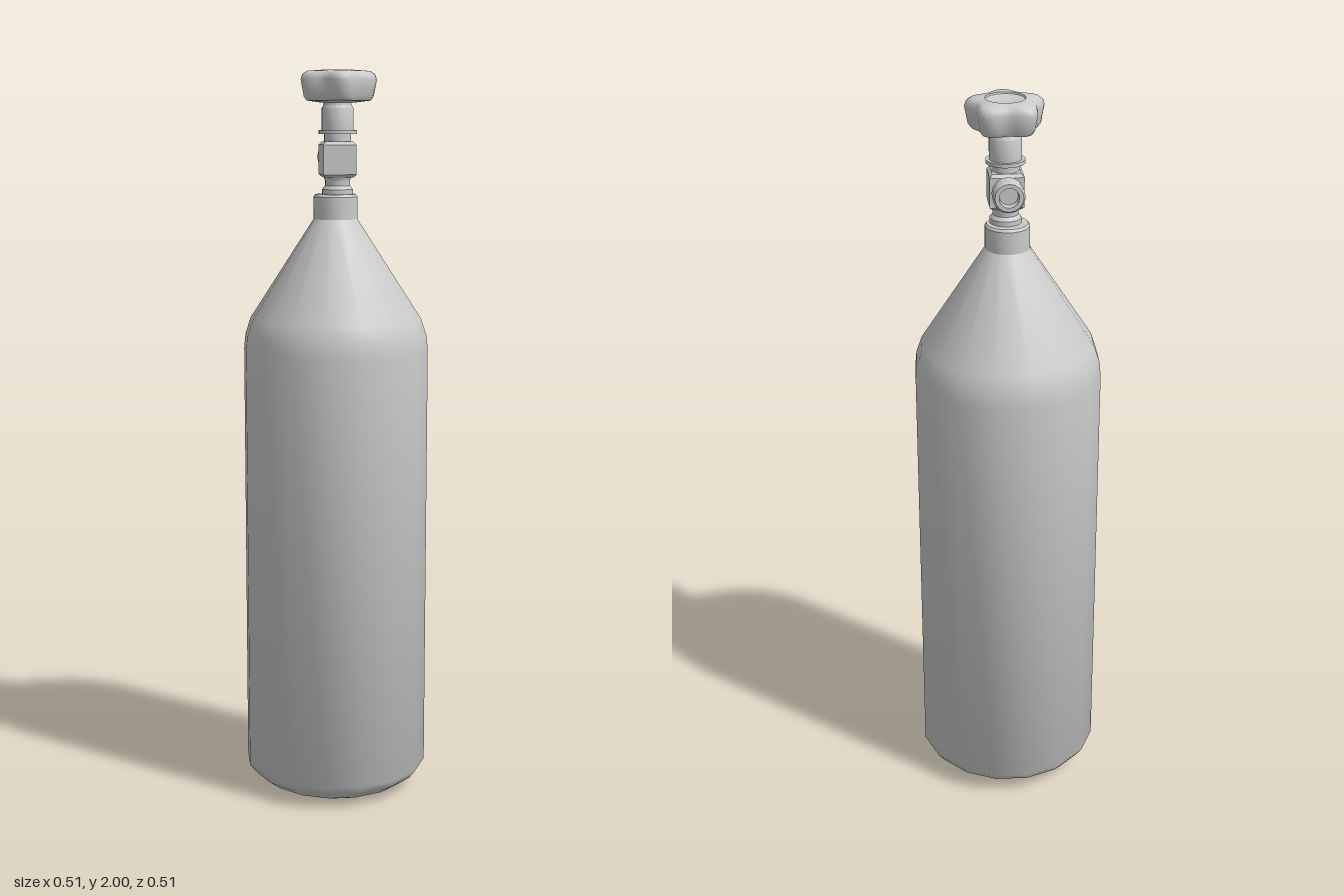
import * as THREE from 'three';
import { mergeVertices, toCreasedNormals } from 'three/addons/utils/BufferGeometryUtils.js';

const material = new THREE.MeshStandardMaterial({ color: 0xcccccc });

function part(name, geometry, crease = 0.6) {
  geometry.deleteAttribute('uv');
  geometry.deleteAttribute('normal');
  const mesh = new THREE.Mesh(toCreasedNormals(mergeVertices(geometry, 1e-5), crease), material);
  mesh.name = name;
  return mesh;
}

// Profile points are [radius, height], listed from bottom to top
function lathe(profile, sides) {
  return new THREE.LatheGeometry(profile.map(([r, y]) => new THREE.Vector2(r, y)), sides);
}

// Square valve block with chamfered edges
function blockGeometry(width, height, bevel) {
  const h = width / 2 - bevel;
  const shape = new THREE.Shape([[-h, -h], [h, -h], [h, h], [-h, h]].map(([x, y]) => new THREE.Vector2(x, y)));
  const geometry = new THREE.ExtrudeGeometry(shape, {
    depth: height - 2 * bevel, bevelThickness: bevel, bevelSize: bevel, bevelSegments: 1,
  });
  return geometry.rotateX(-Math.PI / 2).translate(0, bevel, 0);
}

// Five-lobed hand wheel: a turned shape whose outer rings swell and shrink
function handWheelGeometry() {
  const geometry = lathe([
    [0, 1.915], [0.045, 1.915], [0.08, 1.92], [0.087, 1.93], [0.095, 1.975], [0.091, 1.988],
    [0.08, 1.997], [0.052, 2.0], [0.05, 1.996], [0.03, 1.992], [0, 1.99],
  ], 40);
  const pos = geometry.attributes.position;
  for (let i = 0; i < pos.count; i++) {
    const x = pos.getX(i), z = pos.getZ(i);
    if (Math.hypot(x, z) < 0.06) continue;
    const k = 1 + 0.12 * Math.cos(5 * (Math.atan2(z, x) - 0.07));
    pos.setX(i, x * k);
    pos.setZ(i, z * k);
  }
  return geometry;
}

export function createModel() {
  const model = new THREE.Group();
  model.name = 'gasCylinder';

  // Tank with rounded foot, straight wall and conical shoulder
  model.add(part('tank', lathe([
    [0, 0.005], [0.165, 0.005], [0.2, 0.02], [0.235, 0.045], [0.254, 0.07],
    [0.254, 1.25], [0.25, 1.29], [0.235, 1.335], [0.06, 1.605], [0, 1.605],
  ], 16), 0.75));

  // Collar around the neck
  model.add(part('neckCollar', lathe([
    [0.06, 1.595], [0.06, 1.665], [0.055, 1.672], [0, 1.672],
  ], 16)));

  // Valve assembly, set slightly off the axis
  const valve = new THREE.Group();
  valve.name = 'valve';
  valve.position.set(0.006, 0, 0.007);
  model.add(valve);

  valve.add(part('valveNeck', lathe([
    [0.042, 1.66], [0.042, 1.685], [0.034, 1.695], [0.034, 1.71], [0.042, 1.725],
  ], 16)));

  const body = new THREE.Group();
  body.name = 'valveBody';
  body.rotation.y = 0.24;
  valve.add(body);

  const block = part('valveBlock', blockGeometry(0.09, 0.095, 0.008));
  block.position.y = 1.717;
  body.add(block);

  // Side outlet with a recessed bore, pointing to the back
  const outlet = part('outlet', lathe([
    [0.03, 0.035], [0.03, 0.058], [0.042, 0.062], [0.042, 0.096], [0.037, 0.104],
    [0.026, 0.104], [0.024, 0.085], [0, 0.085],
  ], 16));
  outlet.rotation.x = -Math.PI / 2;
  outlet.position.y = 1.77;
  body.add(outlet);

  // Stem, flange and gland nut below the hand wheel
  valve.add(part('valveStem', lathe([
    [0.036, 1.805], [0.036, 1.832], [0.052, 1.832], [0.052, 1.842], [0.043, 1.842],
    [0.043, 1.9], [0.038, 1.908], [0.038, 1.92],
  ], 16)));

  valve.add(part('handWheel', handWheelGeometry(), 0.7));
  return model;
}
